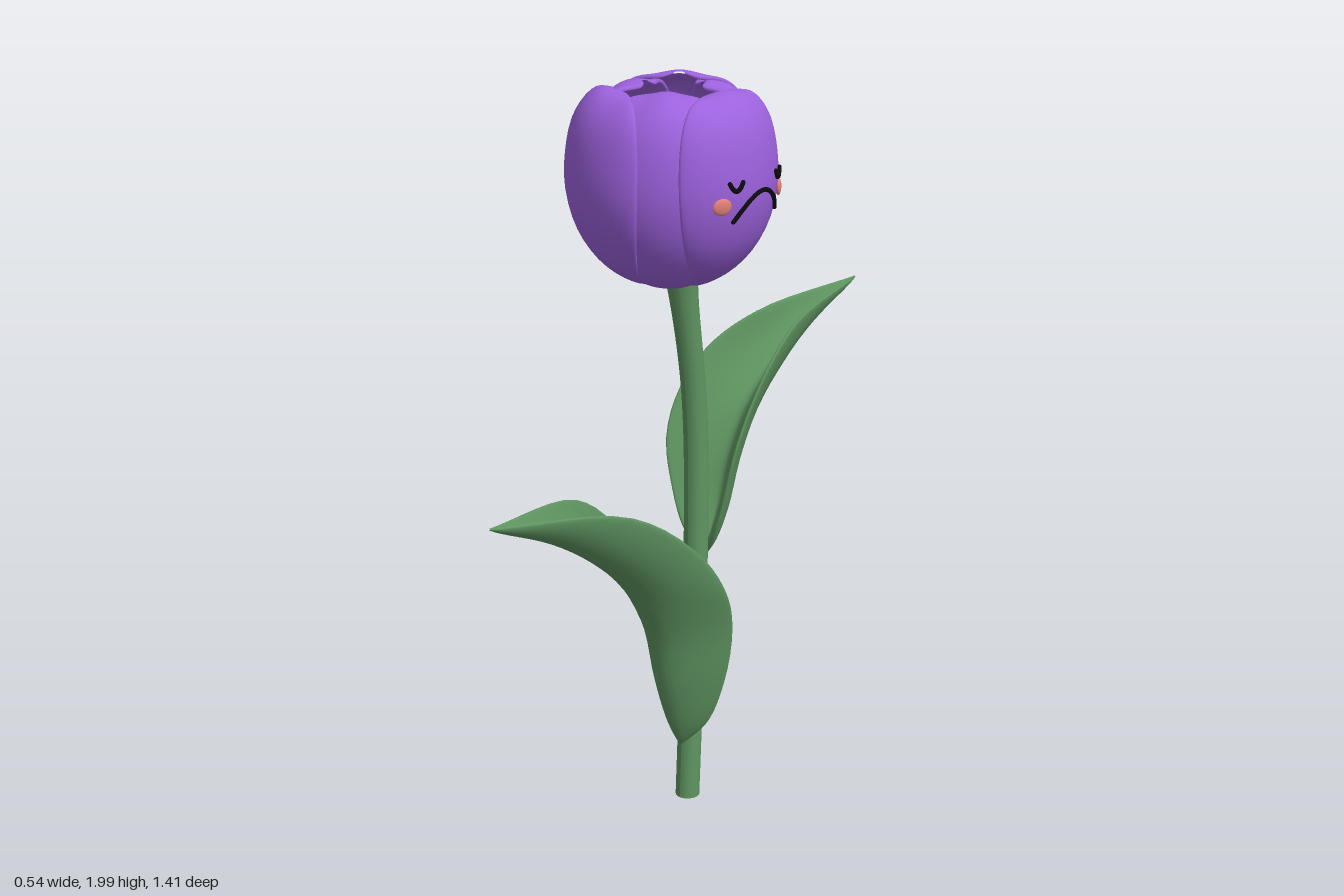
import * as THREE from 'three';

const PURPLE = 0x9d62de, GREEN = 0x5f9561, BLACK = 0x0c0c0c, BLUSH = 0xe07f78;
const V = (x, y, z) => new THREE.Vector3(x, y, z);
const spline = pts => new THREE.CatmullRomCurve3(pts.map(p => V(...p)));

function mesh(name, geometry, color) {
  const m = new THREE.Mesh(geometry, new THREE.MeshStandardMaterial({ color }));
  m.name = name;
  return m;
}

// Closed, round-edged shell around a surface S(u, v), u in [-1, 1], v in [0, 1]
function shell(S, thick, around = 48, rows = 40) {
  const pos = [], idx = [], e = 0.01;
  const clamp = THREE.MathUtils.clamp;
  for (let j = 0; j <= rows; j++) {
    const v = 0.002 + 0.996 * (0.5 - 0.5 * Math.cos(Math.PI * j / rows));
    const taper = Math.sqrt(1 - Math.pow(2 * v - 1, 8));
    for (let i = 0; i < around; i++) {
      const t = i / around * Math.PI * 2, u = Math.cos(t);
      const un = clamp(u, -0.97, 0.97), vn = clamp(v, 0.03, 0.97);
      const du = S(un + e, vn).sub(S(un - e, vn));
      const dv = S(un, vn + e).sub(S(un, vn - e));
      const n = du.cross(dv).normalize();
      const h = thick * taper * Math.sign(Math.sin(t)) * Math.pow(Math.abs(Math.sin(t)), 0.6);
      pos.push(...S(u, v).addScaledVector(n, h).toArray());
      if (j < rows) {
        const a = j * around + i, b = j * around + (i + 1) % around;
        idx.push(a, a + around, b, b, a + around, b + around);
      }
    }
  }
  const g = new THREE.BufferGeometry();
  g.setAttribute('position', new THREE.Float32BufferAttribute(pos, 3));
  g.setIndex(idx);
  g.computeVertexNormals();
  return g;
}

// Petal side profile: x is the radius, y the height
const profile = spline([
  [0.015, 1.488, 0], [0.095, 1.503, 0], [0.17, 1.552, 0], [0.225, 1.63, 0], [0.253, 1.73, 0],
  [0.251, 1.83, 0], [0.23, 1.915, 0], [0.19, 1.967, 0], [0.14, 1.985, 0]]);

// lean pulls the tip towards the middle; a high spread widens the base
function petal(angle, { scale, width, drop, lean, spread }) {
  return shell((u, v) => {
    const p = profile.getPoint(v);
    const w = width * (1 - Math.pow(1 - v, spread)) * Math.sqrt(Math.max(0, 1 - Math.pow(v, 7)));
    const wave = 0.008 * Math.cos(w * u * 8) * Math.pow(v, 5);
    const r = p.x * scale * (1 - lean * Math.pow(v, 6)) + wave + 0.006 * (1 - u * u) * v;
    const a = angle + w * u;
    return V(r * Math.cos(a), p.y - drop + wave * 0.4, r * Math.sin(a));
  }, 0.013);
}
const OUTER = { scale: 1, width: 0.87, drop: 0, lean: 0, spread: 5 };
const INNER = { scale: 0.9, width: 0.98, drop: 0.003, lean: 0.4, spread: 14 };

// Point on the outside of the face petal at a given height and z
function onFace(y, z, lift = 0) {
  let lo = 0, hi = 0.9;
  for (let k = 0; k < 24; k++) {
    const m = (lo + hi) / 2;
    if (profile.getPoint(m).y < y) lo = m; else hi = m;
  }
  const r = profile.getPoint(lo).x + 0.017 + lift;
  return V(Math.sqrt(r * r - z * z), y, z);
}

function faceLine(name, z0, half, y0, bend) {
  const pts = [];
  for (let s = -1; s <= 1.01; s += 0.2) pts.push(onFace(y0 + bend * s * s, z0 + half * s));
  const g = new THREE.Group();
  g.name = name;
  g.add(mesh(name + 'Stroke', new THREE.TubeGeometry(new THREE.CatmullRomCurve3(pts), 30, 0.006, 8), BLACK));
  for (const p of [pts[0], pts[pts.length - 1]]) {
    const end = mesh(name + 'End', new THREE.SphereGeometry(0.006, 8, 6), BLACK);
    end.position.copy(p);
    g.add(end);
  }
  return g;
}

// Leaf from a midrib and one edge; edge x is the half width
function leaf(name, ribPts, edgePts) {
  const rib = spline(ribPts), edge = spline(edgePts);
  return mesh(name, shell((u, v) => {
    const p = rib.getPoint(v), q = edge.getPoint(v), k = Math.pow(Math.abs(u), 1.6);
    return V(p.x + q.x * u, p.y + (q.y - p.y) * k, p.z + (q.z - p.z) * k);
  }, 0.01), GREEN);
}

export function createModel() {
  const model = new THREE.Group();
  model.name = 'tulip';

  // Stem: a cylinder bent along a curve, flared where it meets the flower
  const path = spline([[0.008, 0, -0.037], [0.006, 0.4, -0.058], [0, 0.8, -0.08],
    [-0.004, 1.15, -0.075], [-0.01, 1.5, -0.028]]);
  const stemGeo = new THREE.CylinderGeometry(0.033, 0.033, 1, 20, 40);
  const sp = stemGeo.attributes.position;
  for (let i = 0; i < sp.count; i++) {
    const t = sp.getY(i) + 0.5, c = path.getPoint(t), f = 1 + 0.35 * Math.pow(t, 14);
    sp.setXYZ(i, c.x + sp.getX(i) * f, c.y, c.z + sp.getZ(i) * f);
  }
  stemGeo.computeVertexNormals();
  model.add(mesh('stem', stemGeo, GREEN));

  // Leaves: one low at the front, one higher at the back
  model.add(leaf('frontLeaf',
    [[0.008, 0.163, -0.01], [0.008, 0.25, 0.025], [0.008, 0.37, 0.06], [0.008, 0.52, 0.095],
      [0.008, 0.68, 0.185], [0.008, 0.81, 0.32], [0.01, 0.92, 0.485], [0.012, 1.018, 0.705]],
    [[0, 0.163, -0.01], [0.07, 0.245, -0.04], [0.122, 0.39, -0.052], [0.15, 0.55, -0.045],
      [0.162, 0.67, 0], [0.143, 0.8, 0.09], [0.096, 0.95, 0.3], [0, 1.018, 0.705]]));
  model.add(leaf('backLeaf',
    [[0, 0.69, -0.11], [0, 0.745, -0.147], [0, 0.82, -0.182], [0, 0.945, -0.218],
      [0.003, 1.065, -0.28], [0.012, 1.17, -0.385], [0.026, 1.27, -0.525], [0.045, 1.355, -0.706]],
    [[0, 0.69, -0.11], [0.052, 0.765, -0.088], [0.09, 0.875, -0.084], [0.118, 1.01, -0.094],
      [0.123, 1.13, -0.15], [0.108, 1.235, -0.245], [0.068, 1.31, -0.39], [0, 1.355, -0.706]]));

  // Flower head: three outer petals around three inner ones that lean inwards
  const head = new THREE.Group();
  head.name = 'flowerHead';
  head.position.set(-0.009, 0, 0.008);
  for (let i = 0; i < 3; i++) {
    const a = -0.06 + i * Math.PI * 2 / 3;
    head.add(mesh('outerPetal', petal(a, OUTER), PURPLE));
    head.add(mesh('innerPetal', petal(a + Math.PI / 3, INNER), PURPLE));
  }

  // Sleepy, frowning face on the left petal
  const mid = -0.028;
  head.add(faceLine('mouth', mid, 0.093, 1.758, -0.066));
  for (const s of [-1, 1]) {
    head.add(faceLine('eye', mid + s * 0.092, 0.019, 1.77, 0.02));
    const cheek = mesh('cheek', new THREE.SphereGeometry(1, 20, 12), BLUSH);
    cheek.scale.set(0.026, 0.021, 0.007);
    cheek.position.copy(onFace(1.735, mid + s * 0.128, -0.002));
    cheek.rotation.y = Math.atan2(cheek.position.x, cheek.position.z);
    head.add(cheek);
  }
  model.add(head);
  return model;
}
